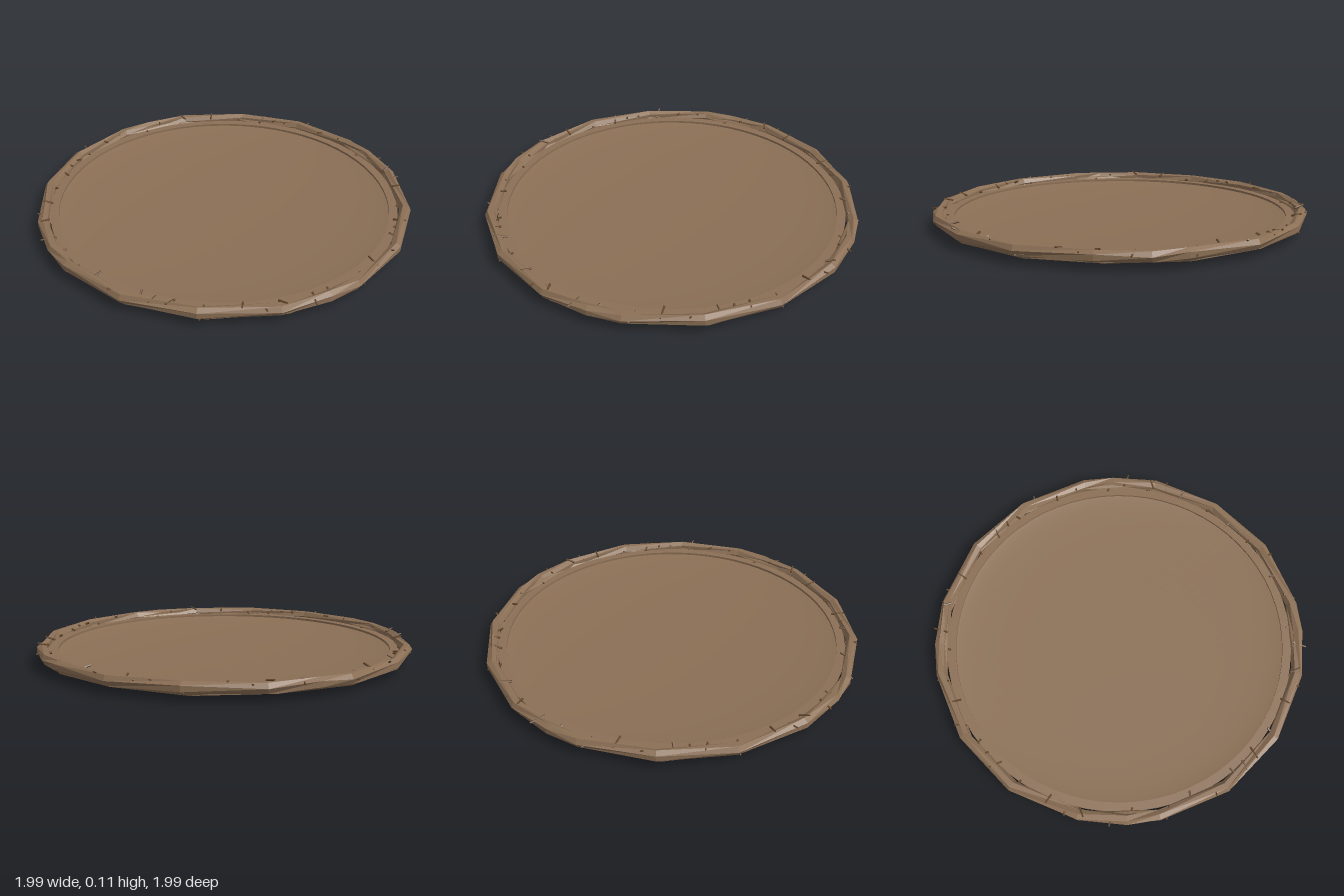
import * as THREE from 'three';
import { toCreasedNormals } from 'three/addons/utils/BufferGeometryUtils.js';

const bark = new THREE.MeshStandardMaterial({ color: 0x8b6f55 });
bark.name = 'barkBrown';
const dark = new THREE.MeshStandardMaterial({ color: 0x65492f });
dark.name = 'darkTwigBrown';

function seeded(seed) {
  return () => {
    seed = (seed * 16807) % 2147483647;
    return seed / 2147483647;
  };
}

// Faceted closed strand: polygon sections placed at the given angles (degrees)
function strandGeometry(angles, R, y, tube, sides, twist) {
  const pos = [], index = [], n = angles.length;
  angles.forEach((deg, i) => {
    const t = THREE.MathUtils.degToRad(deg);
    for (let j = 0; j < sides; j++) {
      const s = (j / sides) * Math.PI * 2 + (i % 2) * twist;
      const r = R + tube * Math.cos(s);
      pos.push(r * Math.sin(t), y + tube * Math.sin(s), r * Math.cos(t));
    }
  });
  for (let i = 0; i < n; i++) {
    for (let j = 0; j < sides; j++) {
      const i2 = (i + 1) % n, j2 = (j + 1) % sides;
      const a = i * sides + j, b = i2 * sides + j, c = i2 * sides + j2, d = i * sides + j2;
      index.push(a, b, c, a, c, d);
    }
  }
  const g = new THREE.BufferGeometry();
  g.setAttribute('position', new THREE.Float32BufferAttribute(pos, 3));
  g.setIndex(index);
  const flat = g.toNonIndexed();
  flat.computeVertexNormals();
  return flat;
}

export function createModel() {
  const group = new THREE.Group();
  const add = (name, geometry, material) => {
    const mesh = new THREE.Mesh(geometry, material);
    mesh.name = name;
    group.add(mesh);
    return mesh;
  };

  // Shallow bowl: rounded underside, flat lip, dished floor
  const profile = [];
  const dish = (r, R, depth, base) => base + depth * (1 - Math.sqrt(1 - (r / R) ** 2));
  for (let i = 0; i <= 14; i++) {
    const r = 0.93 * Math.sin((i / 14) * Math.PI / 2);
    profile.push(new THREE.Vector2(r, dish(r, 0.945, 0.055, 0)));
  }
  profile.push(new THREE.Vector2(0.93, 0.062), new THREE.Vector2(0.885, 0.062));
  for (let i = 14; i >= 0; i--) {
    const r = 0.885 * Math.sin((i / 14) * Math.PI / 2);
    profile.push(new THREE.Vector2(r, dish(r, 0.92, 0.052, 0.012)));
  }
  add('bowl', toCreasedNormals(new THREE.LatheGeometry(profile, 64), 0.5), bark);

  // Woven rim: an outer strand and a lower strand crossing it
  const outer = [], lower = [];
  for (let q = 0; q < 4; q++) {
    for (const a of [4.4, 19, 41, 62.7, 84.6]) outer.push(180 - (a + q * 90));
  }
  outer.reverse();
  for (let i = 0; i < 16; i++) lower.push(i * 22.5 + 6);
  add('outerRimStrand', strandGeometry(outer, 0.969, 0.066, 0.029, 6, Math.PI / 6), bark);
  add('lowerRimStrand', strandGeometry(lower, 0.962, 0.052, 0.023, 5, Math.PI / 5), bark);

  // Short twigs poking out of the rim, repeated on each quarter
  const rand = seeded(77);
  const twigAngles = [3, 9, 18, 23, 29, 40, 49, 54, 58, 66, 74, 82];
  const twigs = new THREE.Group();
  twigs.name = 'rimTwigs';
  const up = new THREE.Vector3(0, 1, 0);
  for (const a of twigAngles) {
    const r = 0.935 + rand() * 0.04;
    const y = 0.055 + rand() * 0.04;
    const dir = new THREE.Vector3(rand() - 0.5, (rand() - 0.4) * 0.9, 0.8).normalize();
    const geo = new THREE.CylinderGeometry(0.004, 0.006, 0.05 + rand() * 0.03, 5).toNonIndexed();
    geo.computeVertexNormals();
    for (let q = 0; q < 4; q++) {
      const holder = new THREE.Group();
      holder.rotation.y = THREE.MathUtils.degToRad(180 - a - q * 90);
      const twig = new THREE.Mesh(geo, dark);
      twig.name = 'twig';
      twig.position.set(0, y, r);
      twig.quaternion.setFromUnitVectors(up, dir);
      holder.add(twig);
      twigs.add(holder);
    }
  }
  group.add(twigs);
  return group;
}
